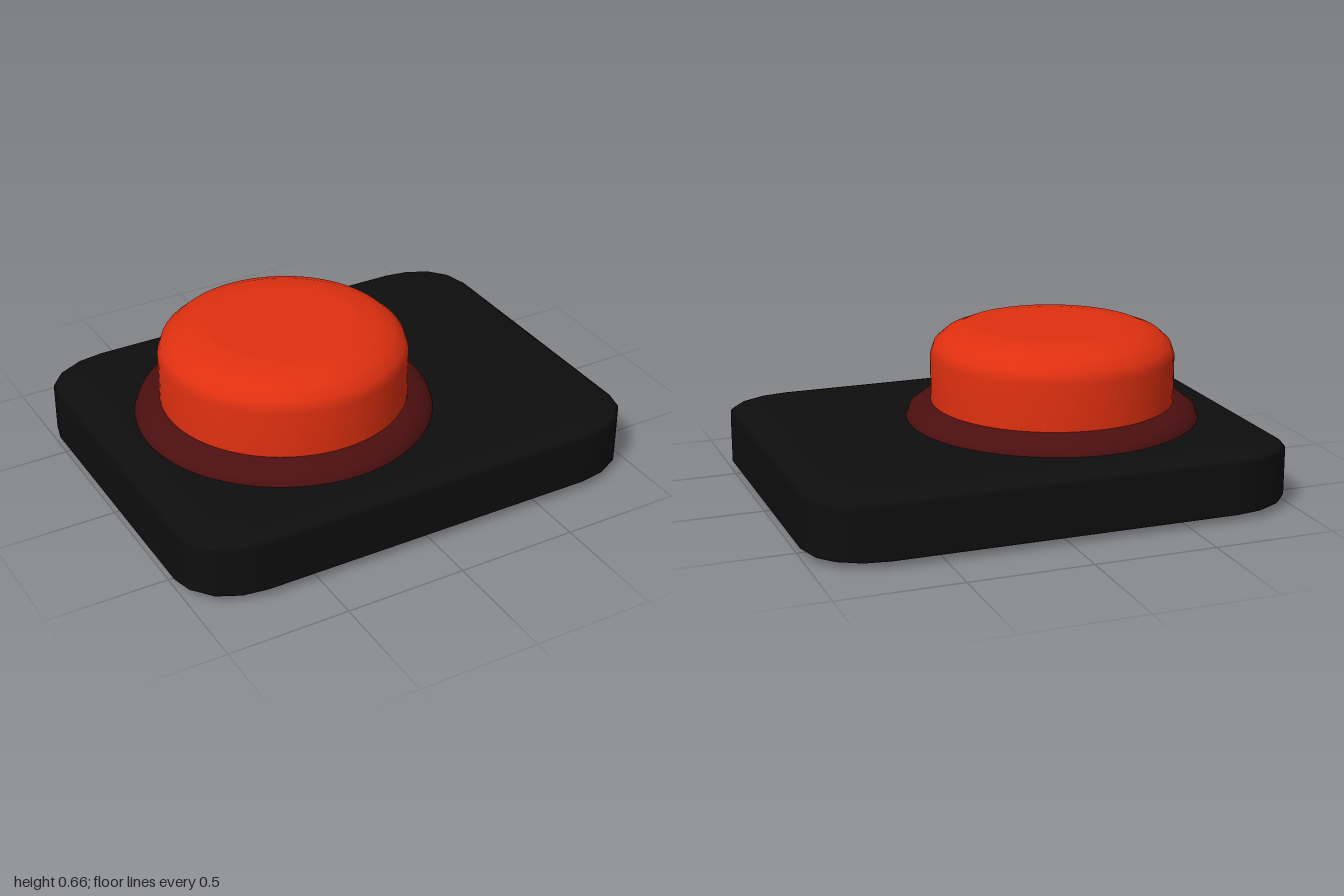
import * as THREE from 'three';

const flat = (name, color) => {
  const m = new THREE.MeshStandardMaterial({ color });
  m.name = name;
  return m;
};

// Slab with elliptical rounding: size and rounding radius are given per axis
function roundedSlab(size, radius) {
  const geo = new THREE.BoxGeometry(2, 2, 2, 5, 5, 5);
  const pos = geo.attributes.position, nor = geo.attributes.normal;
  const axes = ['x', 'y', 'z'];
  const v = new THREE.Vector3(), n = new THREE.Vector3();
  for (let i = 0; i < pos.count; i++) {
    v.fromBufferAttribute(pos, i);
    const s = axes.map((a) => Math.sign(v[a]));
    // grid lines at 0.2, 0.6 and 1 become arc steps at 0, 22.5 and 45 degrees
    axes.forEach((a, k) => {
      const step = (Math.abs(v[a]) - 0.2) / 0.8;
      n[a] = s[k] * Math.tan(step * Math.PI / 4);
    });
    n.normalize();
    axes.forEach((a, k) => {
      v[a] = s[k] * (size[k] / 2 - radius[k]) + n[a] * radius[k];
      n[a] /= radius[k];
    });
    n.normalize();
    pos.setXYZ(i, v.x, v.y, v.z);
    nor.setXYZ(i, n.x, n.y, n.z);
  }
  return geo;
}

// Disc with a soft upper rim, turned from a side profile
function softDisc(r, bottom, top, rimX, rimY) {
  const pts = [new THREE.Vector2(0, bottom), new THREE.Vector2(r, bottom)];
  if (top - rimY > bottom + 0.01) pts.push(new THREE.Vector2(r, bottom + 0.005));
  for (let i = 0; i <= 4; i++) {
    const a = (i / 4) * Math.PI / 2;
    pts.push(new THREE.Vector2(r - rimX + rimX * Math.cos(a), top - rimY + rimY * Math.sin(a)));
  }
  pts.push(new THREE.Vector2(r - rimX - 0.01, top), new THREE.Vector2(0, top));
  return new THREE.LatheGeometry(pts, 72);
}

export function createModel() {
  const model = new THREE.Group();
  model.name = 'pushButton';
  const black = flat('black', 0x0e0e0e);
  const darkRed = flat('darkRed', 0x4c0f10);
  const red = flat('red', 0xe03010);

  const add = (name, geo, mat, x, y) => {
    const mesh = new THREE.Mesh(geo, mat);
    mesh.name = name;
    mesh.position.set(x, y, 0);
    model.add(mesh);
  };

  // Base plate, with the button set off to one side
  add('base', roundedSlab([2, 0.28, 1.57], [0.29, 0.04, 0.228]), black, 0, 0.14);
  add('collar', softDisc(0.606, 0.275, 0.354, 0.155, 0.075), darkRed, -0.232, 0);
  add('button', softDisc(0.503, 0.33, 0.66, 0.198, 0.12), red, -0.232, 0);
  return model;
}
